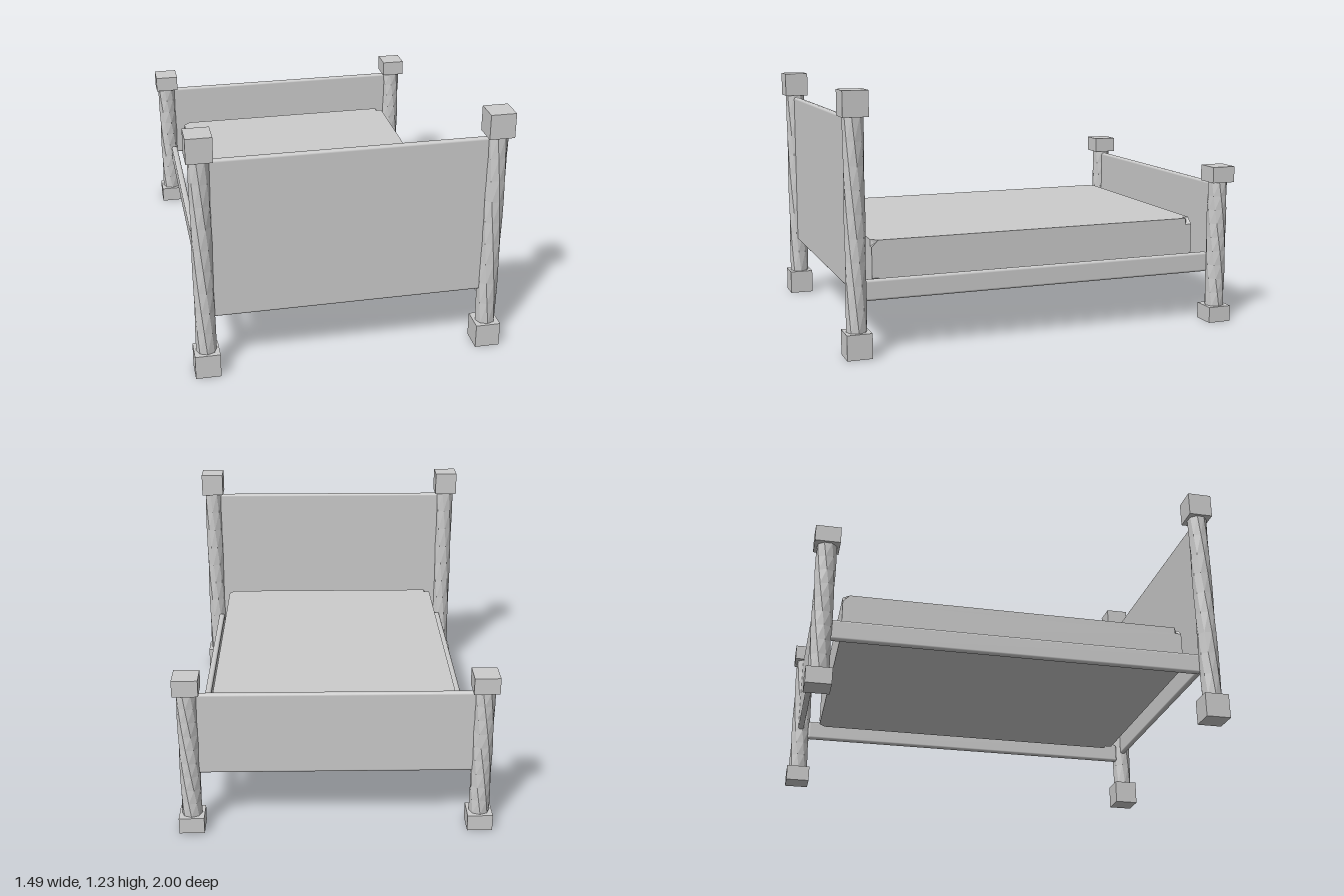
import * as THREE from 'three';
import { RoundedBoxGeometry } from 'three/addons/geometries/RoundedBoxGeometry.js';

const smooth = new THREE.MeshStandardMaterial({ color: 0xcccccc });
const faceted = new THREE.MeshStandardMaterial({ color: 0xcccccc, flatShading: true });

function add(parent, name, geometry, material, x, y, z) {
  const mesh = new THREE.Mesh(geometry, material);
  mesh.name = name;
  mesh.position.set(x, y, z);
  parent.add(mesh);
  return mesh;
}

// Eight-sided shaft whose rings are each turned a step further than the one below
function twistedShaft(radius, height, rings, step) {
  const geo = new THREE.CylinderGeometry(radius, radius, height, 8, rings, true);
  const p = geo.attributes.position;
  const v = new THREE.Vector3();
  const up = new THREE.Vector3(0, 1, 0);
  for (let i = 0; i < p.count; i++) {
    v.fromBufferAttribute(p, i);
    v.applyAxisAngle(up, (v.y / height + 0.5) * rings * step);
    p.setXYZ(i, v.x, v.y, v.z);
  }
  geo.computeVertexNormals();
  return geo;
}

// Square foot block, twisted shaft and square cap block
function bedPost(name, height, blockHeight, x, z) {
  const post = new THREE.Group();
  post.name = name;
  post.position.set(x, 0, z);
  const block = new THREE.BoxGeometry(0.12, blockHeight, 0.12);
  add(post, 'footBlock', block, faceted, 0, blockHeight / 2, 0);
  add(post, 'capBlock', block, faceted, 0, height - blockHeight / 2, 0);
  const shaft = twistedShaft(0.049, height - 2 * blockHeight, 9, THREE.MathUtils.degToRad(-12));
  add(post, 'twistedShaft', shaft, faceted, 0, height / 2, 0);
  return post;
}

// Box with all eight corners pressed inwards
function mattressGeometry(w, h, d, notch) {
  const geo = new THREE.BoxGeometry(w, h, d, 3, 3, 3);
  const p = geo.attributes.position;
  const half = [w / 2, h / 2, d / 2];
  for (let i = 0; i < p.count; i++) {
    const c = [p.getX(i), p.getY(i), p.getZ(i)];
    const onEdge = c.map((value, k) => Math.abs(value) > half[k] * 0.9);
    const press = onEdge.every(Boolean) ? notch * 0.6 : 0;
    const moved = c.map((value, k) => Math.sign(value) * (half[k] - (onEdge[k] ? press : notch)));
    p.setXYZ(i, ...moved);
  }
  return geo;
}

export function createModel() {
  const bed = new THREE.Group();
  bed.name = 'bed';

  // Posts and side rails, mirrored left and right
  for (const [side, s] of [['left', 1], ['right', -1]]) {
    bed.add(bedPost(side + 'HeadPost', 1.23, 0.12, s * 0.685, 0.94));
    bed.add(bedPost(side + 'FootPost', 0.8, 0.08, s * 0.685, -0.94));
    add(bed, side + 'SideRail', new RoundedBoxGeometry(0.032, 0.1, 1.8, 3, 0.012),
      smooth, s * 0.659, 0.303, 0);
  }

  // End boards
  add(bed, 'headboard', new RoundedBoxGeometry(1.3, 0.8, 0.03, 3, 0.012), smooth, 0, 0.7, 0.938);
  add(bed, 'footboard', new RoundedBoxGeometry(1.3, 0.41, 0.03, 3, 0.012), smooth, 0, 0.505, -0.94);

  // Mattress, its lower part sunk between the rails
  add(bed, 'mattress', mattressGeometry(1.2, 0.212, 1.685, 0.032), faceted, 0, 0.416, -0.001);

  return bed;
}
